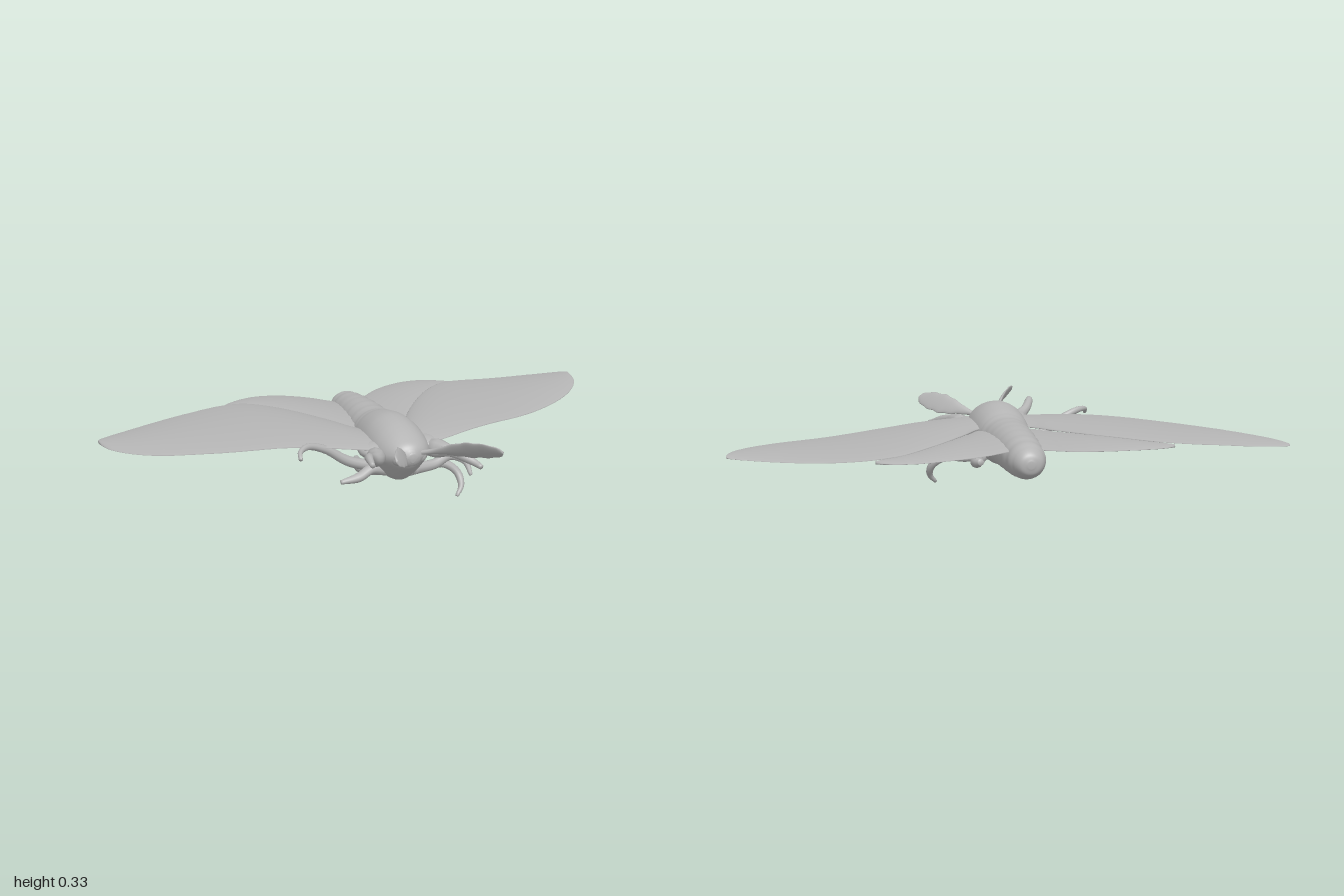
import * as THREE from 'three';

const V = (x, y, z) => new THREE.Vector3(x, y, z);
const grey = new THREE.MeshStandardMaterial({ color: 0xb4b4b4 });
grey.name = 'grey';

// Smooth curve through a short list of triples
const spline = (pts) => new THREE.CatmullRomCurve3(pts.map((p) => V(...p)), false, 'centripetal');

// Closed skin over a list of equal-length rings, with fan caps
function loft(rings, name) {
  const n = rings[0].length, m = rings.length, pos = [], idx = [];
  rings.forEach((r) => r.forEach((p) => pos.push(p.x, p.y, p.z)));
  for (let i = 0; i < m - 1; i++) for (let j = 0; j < n; j++) {
    const a = i * n + j, b = i * n + (j + 1) % n;
    idx.push(a, b, a + n, b, b + n, a + n);
  }
  [0, m - 1].forEach((i) => {
    const c = V(0, 0, 0);
    rings[i].forEach((p) => c.addScaledVector(p, 1 / n));
    const k = pos.length / 3;
    pos.push(c.x, c.y, c.z);
    for (let j = 0; j < n; j++) {
      const a = i * n + j, b = i * n + (j + 1) % n;
      if (i) idx.push(a, b, k); else idx.push(b, a, k);
    }
  });
  const g = new THREE.BufferGeometry();
  g.setAttribute('position', new THREE.Float32BufferAttribute(pos, 3));
  g.setIndex(idx);
  g.computeVertexNormals();
  const mesh = new THREE.Mesh(g, grey);
  mesh.name = name;
  return mesh;
}

const circle = (n, f) => Array.from({ length: n }, (_, j) => f(j / n * Math.PI * 2));

// Body: z, half width, top, bottom; egg-shaped sections narrowing below
function body() {
  const st = [
    [-0.465, 0.012, 0.215, 0.19], [-0.455, 0.04, 0.24, 0.165], [-0.42, 0.06, 0.262, 0.146],
    [-0.35, 0.073, 0.278, 0.135], [-0.2, 0.085, 0.295, 0.13], [-0.06, 0.095, 0.303, 0.12],
    [0, 0.105, 0.32, 0.105], [0.08, 0.112, 0.333, 0.098], [0.15, 0.112, 0.328, 0.1],
    [0.2, 0.105, 0.316, 0.115], [0.25, 0.085, 0.297, 0.155], [0.285, 0.055, 0.278, 0.19],
    [0.305, 0.015, 0.25, 0.22]];
  const size = spline(st.map((s) => [s[0], s[2], s[3]]));
  const width = spline(st.map((s) => [s[0], s[1], 0]));
  const rings = [];
  for (let i = 0; i <= 84; i++) {
    const t = i / 84, p = size.getPoint(t), z = p.x;
    const w = width.getPoint(t).y;
    // abdomen segments
    const ridge = z < -0.05 && z > -0.43 ? 1 + 0.022 * Math.sin(z * 105) : 1;
    const pinch = THREE.MathUtils.smoothstep(z, -0.08, 0.1) * 0.38;
    const mid = (p.y + p.z) / 2, h = (p.y - p.z) / 2;
    rings.push(circle(28, (a) => {
      const s = Math.sin(a);
      return V(w * ridge * Math.cos(a) * (1 + pinch * Math.min(s, 0)), mid + h * ridge * s, z);
    }));
  }
  return loft(rings, 'body');
}

// Height of each wing along its span
const heights = {
  1: spline([[0, 0.243, 0], [0.1, 0.249, 0], [0.3, 0.252, 0], [0.65, 0.235, 0], [0.85, 0.24, 0], [1, 0.25, 0]]),
  '-1': spline([[0, 0.243, 0], [0.1, 0.25, 0], [0.38, 0.262, 0], [0.65, 0.241, 0], [0.85, 0.22, 0], [1, 0.207, 0]]),
};
const heightTables = {};
for (const s of [1, -1]) heightTables[s] = heights[s].getPoints(200);
const spanY = (side, x) => (heightTables[side].find((p) => p.x >= x) || heightTables[side][200]).y;

// Wing: stations of x, leading z, trailing z
function wing(st, side, drop, thick, name) {
  const curve = spline(st), rings = [];
  for (let i = 0; i <= 60; i++) {
    const p = curve.getPoint(i / 60), mid = (p.y + p.z) / 2, half = (p.y - p.z) / 2;
    const th = thick * (1.15 - 0.6 * p.x);
    rings.push(circle(32, (a) => {
      const s = Math.sin(a), camber = 0.012 * (1 - s * s) * Math.min(1, half * 6);
      return V(side * p.x, spanY(side, p.x) - drop + camber + th * Math.cos(a), mid + half * s);
    }));
  }
  if (side < 0) rings.reverse();
  return loft(rings, name);
}

const foreStations = [
  [0.04, 0.2, 0.02], [0.1, 0.215, -0.03], [0.17, 0.2, -0.14], [0.3, 0.15, -0.31], [0.43, 0.1, -0.425],
  [0.52, 0.07, -0.447], [0.65, 0.015, -0.44], [0.8, -0.065, -0.418], [0.9, -0.145, -0.395],
  [0.97, -0.235, -0.375], [0.993, -0.295, -0.362], [1, -0.335, -0.352]];
const hindStations = [
  [0.05, 0.02, -0.38], [0.1, 0, -0.42], [0.14, -0.06, -0.452], [0.22, -0.16, -0.492], [0.3, -0.25, -0.513],
  [0.38, -0.33, -0.515], [0.46, -0.39, -0.49], [0.5, -0.41, -0.462], [0.52, -0.425, -0.44]];

// Tapered limb: path points and radii along it
function limb(pts, radii, name) {
  const curve = spline(pts), n = 28, fr = curve.computeFrenetFrames(n), rings = [];
  const rad = radii.map((r) => r);
  for (let i = 0; i <= n; i++) {
    const t = i / n, k = Math.min(t * (rad.length - 1), rad.length - 1.001), q = Math.floor(k);
    const r = THREE.MathUtils.lerp(rad[q], rad[q + 1], k - q), c = curve.getPointAt(t);
    rings.push(circle(10, (a) => c.clone()
      .addScaledVector(fr.normals[i], r * Math.cos(a))
      .addScaledVector(fr.binormals[i], r * Math.sin(a))));
  }
  return loft(rings, name);
}

// Feathered antenna: thin leaf on a short stalk
function antenna(from, to, across, width, name) {
  const dir = to.clone().sub(from).normalize();
  const nrm = dir.clone().cross(across).normalize(), side = nrm.clone().cross(dir);
  const rings = [];
  for (let i = 0; i <= 32; i++) {
    const t = i / 32;
    const leaf = THREE.MathUtils.smoothstep(t, 0.05, 0.65) * Math.sqrt(Math.max(0, 1 - Math.pow(t, 7)));
    const w = 0.009 * (1 - 0.7 * t) + width * leaf * (1 + 0.06 * Math.sin(t * 34));
    const c = from.clone().lerp(to, t).addScaledVector(nrm, -0.012 * Math.sin(t * Math.PI));
    rings.push(circle(16, (a) => c.clone()
      .addScaledVector(side, w * Math.cos(a))
      .addScaledVector(nrm, (0.009 - 0.004 * t) * Math.sin(a))));
  }
  return loft(rings, name);
}

function blob(name, x, y, z, sx, sy, sz) {
  const m = new THREE.Mesh(new THREE.SphereGeometry(1, 20, 14), grey);
  m.name = name;
  m.position.set(x, y, z);
  m.scale.set(sx, sy, sz);
  return m;
}

export function createModel() {
  const moth = new THREE.Group();
  moth.name = 'moth';
  moth.add(body(), blob('head', 0, 0.235, 0.268, 0.05, 0.045, 0.038));
  for (const s of [1, -1]) {
    const label = s > 0 ? 'left' : 'right';
    moth.add(
      wing(foreStations, s, 0, 0.009, label + 'Forewing'),
      wing(hindStations, s, 0.012, 0.007, label + 'Hindwing'),
      blob(label + 'Eye', s * 0.042, 0.23, 0.262, 0.025, 0.03, 0.028),
      blob(label + 'Shoulder', s * 0.1, 0.235, 0.17, 0.055, 0.03, 0.06),
      // hind legs folded under the body
      limb([[s * 0.04, 0.13, 0.12], [s * 0.08, 0.115, 0.06], [s * 0.1, 0.12, 0], [s * 0.09, 0.125, -0.035]],
        [0.02, 0.022, 0.026, 0.012], label + 'HindLeg'));
  }
  moth.add(
    // front legs reaching forward
    limb([[0.1, 0.22, 0.17], [0.145, 0.235, 0.27], [0.175, 0.23, 0.32], [0.21, 0.213, 0.37], [0.22, 0.207, 0.4]],
      [0.03, 0.036, 0.02, 0.016, 0.009], 'leftFrontLeg'),
    limb([[-0.1, 0.22, 0.17], [-0.125, 0.24, 0.27], [-0.165, 0.265, 0.32], [-0.19, 0.29, 0.37], [-0.2, 0.285, 0.43]],
      [0.03, 0.034, 0.02, 0.016, 0.009], 'rightFrontLeg'),
    // left side legs with hooked feet
    limb([[0.03, 0.12, 0.14], [0.12, 0.115, 0.12], [0.2, 0.12, 0.12], [0.25, 0.085, 0.14], [0.255, 0.04, 0.17], [0.23, 0.008, 0.187]],
      [0.024, 0.02, 0.018, 0.016, 0.014, 0.007], 'leftMiddleLeg'),
    limb([[0.06, 0.14, 0.17], [0.15, 0.135, 0.15], [0.22, 0.155, 0.14], [0.27, 0.135, 0.165], [0.28, 0.09, 0.2]],
      [0.024, 0.02, 0.018, 0.015, 0.007], 'leftLowerLeg'),
    // right side legs, one raised
    limb([[-0.06, 0.15, 0.13], [-0.18, 0.19, 0.14], [-0.27, 0.25, 0.145], [-0.34, 0.278, 0.165], [-0.38, 0.275, 0.2], [-0.388, 0.258, 0.228]],
      [0.024, 0.02, 0.018, 0.015, 0.012, 0.007], 'rightMiddleLeg'),
    limb([[-0.05, 0.15, 0.17], [-0.11, 0.165, 0.18], [-0.16, 0.145, 0.19], [-0.23, 0.135, 0.19]],
      [0.022, 0.02, 0.018, 0.008], 'rightLowerLeg'),
    // feathered antennae
    antenna(V(0.03, 0.245, 0.28), V(0.248, 0.295, 0.505), V(-0.45, 0.8, 0.25), 0.037, 'leftAntenna'),
    antenna(V(-0.03, 0.25, 0.28), V(-0.145, 0.32, 0.505), V(-0.45, 0.85, 0), 0.031, 'rightAntenna'));
  return moth;
}
